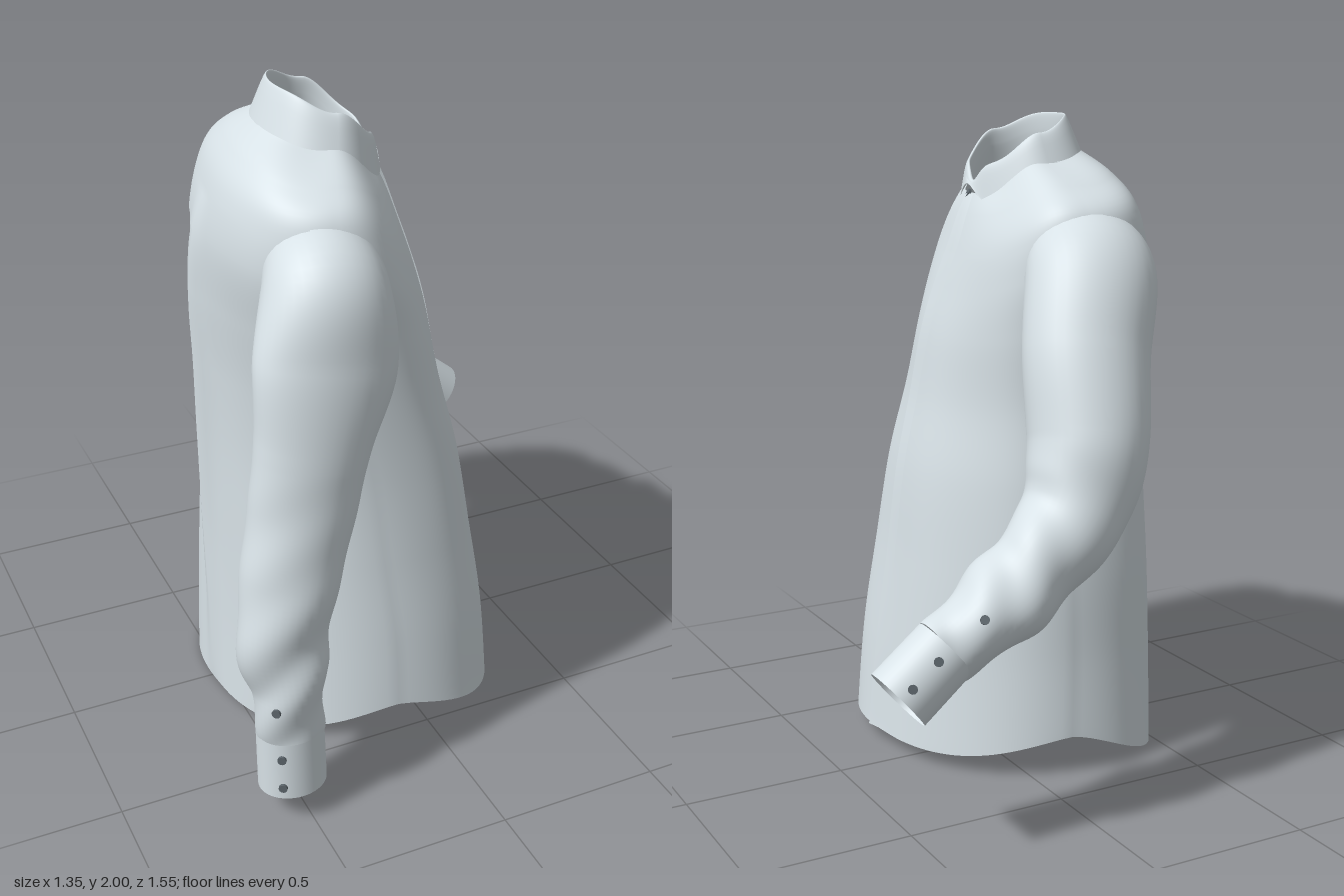
import * as THREE from 'three';
import { ParametricGeometry } from 'three/addons/geometries/ParametricGeometry.js';

const TAU = Math.PI * 2;
const bump = (d, w) => Math.exp(-((d / w) ** 2));

// Smoothly blends between rows of numbers, v from 0 to 1
function blend(rows, v) {
  const n = rows.length - 1;
  const f = Math.min(Math.max(v, 0), 1) * n;
  const i = Math.min(Math.floor(f), n - 1);
  const s = f - i;
  const [a, b, c, d] = [i - 1, i, i + 1, i + 2].map((k) => rows[Math.min(Math.max(k, 0), n)]);
  return b.map((_, k) => {
    const m0 = (c[k] - a[k]) / 2, m1 = (d[k] - b[k]) / 2;
    const s2 = s * s, s3 = s2 * s;
    return (2 * s3 - 3 * s2 + 1) * b[k] + (s3 - 2 * s2 + s) * m0
      + (3 * s2 - 2 * s3) * c[k] + (s3 - s2) * m1;
  });
}

// Point on a rounded ring:
// [ySide, yFront, yBack, xBack, xFront, zRight, zLeft, turn, skew, fall exponent]
function ringPoint(ring, t, power, grow, out) {
  const [yS, yF, yB, xB, xF, zR, zL, turn, skew, fall] = ring;
  const c = Math.cos(t), s = Math.sin(t + skew);
  const f = Math.sign(c) * Math.abs(c) ** power * ((xF - xB) / 2 + grow);
  const l = Math.sign(s) * Math.abs(s) ** power * ((zL - zR) / 2 + grow);
  const drop = Math.sin(Math.abs(c) * Math.PI / 2) ** fall;
  return out.set(
    (xF + xB) / 2 + f * Math.cos(turn) - l * Math.sin(turn),
    yS + ((c > 0 ? yF : yB) - yS) * drop,
    (zR + zL) / 2 + f * Math.sin(turn) + l * Math.cos(turn));
}

// Body from neckline to hem
const bodyRings = [
  [1.86, 1.76, 1.89, -0.36, -0.03, -0.12, 0.32, 0.2, 0, 2.4],
  [1.80, 1.70, 1.83, -0.43, 0.00, -0.27, 0.44, 0.2, 0.02, 2.7],
  [1.725, 1.61, 1.74, -0.485, 0.035, -0.385, 0.52, 0.2, 0.04, 2.7],
  [1.57, 1.48, 1.58, -0.525, 0.075, -0.40, 0.54, 0.19, 0.07, 2.7],
  [1.38, 1.33, 1.38, -0.525, 0.115, -0.37, 0.515, 0.17, 0.11, 2.7],
  [1.15, 1.13, 1.15, -0.51, 0.15, -0.34, 0.50, 0.13, 0.15, 2.5],
  [0.90, 0.90, 0.90, -0.505, 0.20, -0.35, 0.50, 0.08, 0.19, 2.2],
  [0.62, 0.62, 0.62, -0.51, 0.235, -0.365, 0.515, 0.04, 0.22, 2],
  [0.36, 0.33, 0.31, -0.52, 0.27, -0.37, 0.535, 0, 0.24, 1.6],
  [0.125, 0.045, 0.0, -0.535, 0.30, -0.38, 0.545, 0, 0.23, 1.3],
];
function body(t, v, grow, out) {
  const fade = Math.sin(Math.PI * Math.min(1, Math.max(0, (v - 0.25) / 0.75)));
  const pleat = 0.045 * bump(t - Math.PI + 0.1, 0.09) * fade;
  const drape = 0.006 * Math.sin(6 * t + 5 * v) * fade;
  return ringPoint(blend(bodyRings, v), t, 0.88, grow + pleat + drape, out);
}

// Folded collar: up the inside, over the top, down the outside
const collarRings = [
  [1.84, 1.77, 1.88, -0.325, -0.045, -0.085, 0.285, 0.12, 0, 1.9],
  [1.90, 1.81, 1.95, -0.315, -0.042, -0.075, 0.275, 0.12, 0, 1.9],
  [1.945, 1.85, 1.998, -0.315, -0.038, -0.075, 0.275, 0.12, 0, 1.9],
  [1.925, 1.83, 1.975, -0.33, -0.025, -0.095, 0.295, 0.12, 0, 1.9],
  [1.82, 1.735, 1.875, -0.37, -0.012, -0.14, 0.335, 0.12, 0, 1.9],
];
function collar(u, v, out) {
  const t = (u - 0.5) * TAU;
  ringPoint(blend(collarRings, v), t, 0.97, 0, out);
  // The rim dips and the rounded collar points part at the centre front
  out.y += bump(t, 0.28) * (0.055 * Math.max(0, (v - 0.75) / 0.25) - 0.055 * Math.sin(Math.PI * v));
  return out;
}

// Tube along rows of [x, y, z, depth radius, width radius], with crumpled folds
function tube(rows, folds) {
  const centre = (v) => new THREE.Vector3(...blend(rows, v).slice(0, 3));
  return (u, v, out) => {
    const [x, y, z, rd, rw] = blend(rows, v);
    const axis = centre(Math.min(1, v + 0.01)).sub(centre(Math.max(0, v - 0.01))).normalize();
    const U = new THREE.Vector3(1, 0, 0).addScaledVector(axis, -axis.x).normalize();
    const W = new THREE.Vector3().crossVectors(axis, U);
    const a = u * TAU;
    const w = folds * Math.min(1, Math.max(0, (v - 0.4) * 3))
      * (Math.sin(v * 37 + 3 * Math.sin(a + 1)) + 0.8 * Math.sin(2 * a - v * 23));
    return out.set(x, y, z)
      .addScaledVector(U, Math.cos(a) * (rd + w))
      .addScaledVector(W, Math.sin(a) * (rw + w));
  };
}

const leftSleeve = tube([
  [-0.31, 1.60, 0.36, 0.14, 0.13],
  [-0.335, 1.54, 0.50, 0.175, 0.168],
  [-0.37, 1.36, 0.58, 0.205, 0.118],
  [-0.42, 1.15, 0.605, 0.17, 0.115],
  [-0.46, 0.96, 0.615, 0.155, 0.12],
  [-0.505, 0.77, 0.63, 0.145, 0.125],
  [-0.54, 0.58, 0.65, 0.13, 0.117],
  [-0.535, 0.42, 0.662, 0.11, 0.105],
  [-0.53, 0.27, 0.67, 0.096, 0.086],
], 0.005);
const leftCuff = tube([
  [-0.533, 0.285, 0.67, 0.10, 0.09],
  [-0.53, 0.095, 0.672, 0.102, 0.09],
], 0);
const rightSleeve = tube([
  [-0.20, 1.61, -0.22, 0.16, 0.13],
  [-0.165, 1.55, -0.36, 0.195, 0.17],
  [-0.085, 1.34, -0.47, 0.19, 0.165],
  [-0.04, 1.09, -0.555, 0.175, 0.17],
  [0.035, 0.92, -0.60, 0.155, 0.14],
  [0.175, 0.79, -0.63, 0.128, 0.13],
  [0.325, 0.69, -0.648, 0.118, 0.122],
  [0.475, 0.60, -0.655, 0.096, 0.09],
], 0.006);
const rightCuff = tube([
  [0.465, 0.61, -0.655, 0.10, 0.093],
  [0.61, 0.49, -0.655, 0.102, 0.093],
], 0);

export function createModel() {
  const shirt = new THREE.Group();
  shirt.name = 'shirt';
  const cloth = new THREE.MeshStandardMaterial({ color: 0xd7e1e6, side: THREE.DoubleSide });
  cloth.name = 'pale blue grey cloth';
  const dark = new THREE.MeshStandardMaterial({ color: 0x5c656b });
  dark.name = 'dark grey button';

  const sheet = (name, fn, across, along) => {
    const mesh = new THREE.Mesh(new ParametricGeometry(fn, across, along), cloth);
    mesh.name = name;
    shirt.add(mesh);
  };

  // Button lying on a surface
  const button = (name, fn, u, v) => {
    const p = fn(u, v, new THREE.Vector3());
    const du = fn(u + 0.01, v, new THREE.Vector3()).sub(p);
    const dv = fn(u, v + 0.01, new THREE.Vector3()).sub(p);
    const normal = du.cross(dv).normalize();
    const mesh = new THREE.Mesh(new THREE.CylinderGeometry(0.013, 0.013, 0.008, 14), dark);
    mesh.name = name;
    mesh.position.copy(p).addScaledVector(normal, 0.004);
    mesh.quaternion.setFromUnitVectors(new THREE.Vector3(0, 1, 0), normal);
    shirt.add(mesh);
  };

  const torso = (u, v, out) => body(u * TAU, v, 0, out);
  sheet('body', torso, 112, 80);

  // Front strip, flush on one side with a raised overlapping edge on the other
  sheet('frontPlacket', (u, v, out) =>
    body(-0.1 + u * (0.13 - 0.05 * v), 0.01 + v * 0.99, 0.001 + 0.009 * u, out), 8, 80);

  // Yoke panel across the upper back
  sheet('backYoke', (u, v, out) => body(Math.PI * (0.56 + u * 0.88), v * 0.33, 0.004, out), 50, 20);

  sheet('collar', collar, 80, 24);
  sheet('leftSleeve', leftSleeve, 40, 90);
  sheet('rightSleeve', rightSleeve, 40, 90);
  sheet('leftCuff', leftCuff, 40, 4);
  sheet('rightCuff', rightCuff, 40, 4);

  button('collarButton', torso, 0.002, 0.015);
  for (const v of [0.3, 0.74]) {
    button('leftCuffButton', leftCuff, 0.345, v);
    button('rightCuffButton', rightCuff, 0.82, v);
  }
  button('leftSleeveButton', leftSleeve, 0.352, 0.885);
  button('rightSleeveButton', rightSleeve, 0.82, 0.9);
  return shirt;
}
